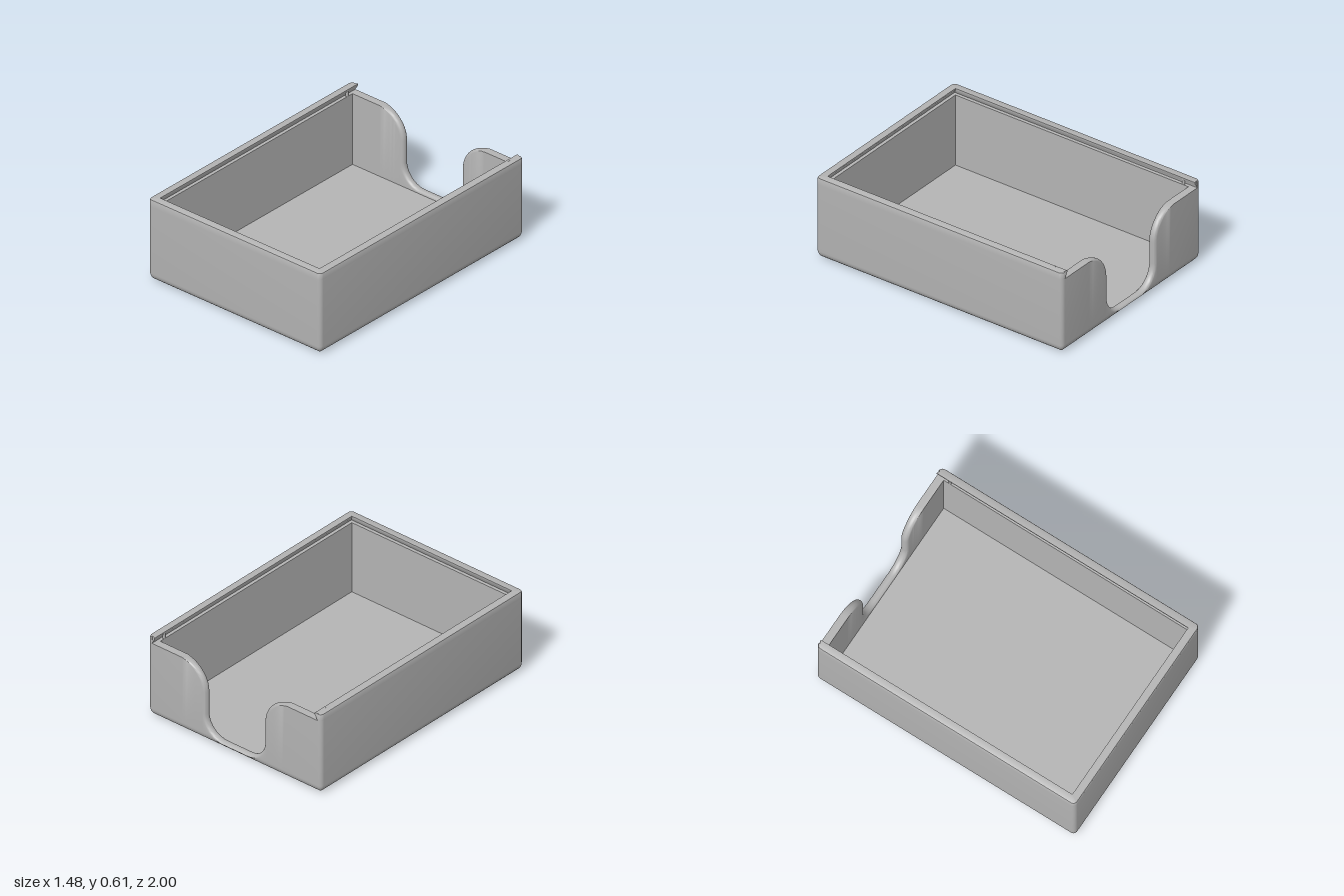
import * as THREE from 'three';
import { toCreasedNormals } from 'three/addons/utils/BufferGeometryUtils.js';

const W = 0.74, L = 1;            // half width, half length
const WALL = 0.055, FLOOR = 0.03; // thicknesses
const LEDGE = 0.56, TOP = 0.61;   // groove floor and rim heights
const CORNER = 0.03, FILLET = 0.06, ROUND = 0.025;

// Skin rows of points; caps optionally close both ends of the rows
function loft(rows, closed, caps) {
  const pos = [], n = rows[0].length;
  const tri = (a, b, c) => pos.push(...a, ...b, ...c);
  for (let i = 0; i < rows.length - 1; i++) {
    for (let j = 0; j < (closed ? n : n - 1); j++) {
      const k = (j + 1) % n;
      const a = rows[i][j], b = rows[i][k], c = rows[i + 1][k], d = rows[i + 1][j];
      tri(a, b, c);
      tri(a, c, d);
    }
  }
  if (caps) {
    for (let i = 1; i < rows.length - 1; i++) {
      tri(rows[0][0], rows[i][0], rows[i + 1][0]);
      tri(rows[0][n - 1], rows[i + 1][n - 1], rows[i][n - 1]);
    }
  }
  const g = new THREE.BufferGeometry();
  g.setAttribute('position', new THREE.Float32BufferAttribute(pos, 3));
  return toCreasedNormals(g, 0.6);
}

// One rounded plan corner at inset d, swept a quarter turn from angle a0
function corner(sx, sz, a0, d, y, toBack = false) {
  const r = Math.max(CORNER - d, 0), out = [];
  const cx = sx * (W - d - r);
  const cz = toBack && d > CORNER ? -L : sz * (L - d - r);
  for (let i = 0; i <= 6; i++) {
    const a = a0 - (i / 6) * Math.PI / 2;
    out.push([cx + r * Math.cos(a), y, cz + r * Math.sin(a)]);
  }
  return out;
}

// Thumb scoop edge from +x to -x: position, inward normal, rounding weight
function scoopEdge() {
  const half = [], N = 14;
  for (let i = 0; i <= N; i++) {
    const t = i / N, a = Math.PI / 2 * (1 + t), c = Math.cos(a), s = Math.sin(a);
    half.push({ x: 0.45 + 0.2 * c, y: LEDGE - 0.2 + 0.2 * s, nx: -c, ny: -s, w: Math.min(1, t * 2) });
  }
  for (let i = 0; i <= N; i++) {
    const t = i / N, a = -Math.PI / 2 * t, c = Math.cos(a), s = Math.sin(a);
    half.push({ x: 0.1 + 0.15 * c, y: 0.2 + 0.15 * s, nx: c, ny: s, w: 1 - 0.4 * t });
  }
  return [...half, ...half.map(p => ({ ...p, x: -p.x, nx: -p.nx })).reverse()];
}

function trayGeometry() {
  const edge = scoopEdge();
  const row = (d, y, off = ROUND) => [
    ...corner(1, 1, Math.PI / 2, d, y),
    ...corner(1, -1, 0, d, y),
    ...edge.map(p => [
      THREE.MathUtils.clamp(p.x + p.nx * p.w * off, d - W, W - d),
      Math.min(y, p.y + p.ny * p.w * off),
      d - L,
    ]),
    ...corner(-1, -1, -Math.PI / 2, d, y),
    ...corner(-1, 1, -Math.PI, d, y),
  ];
  const rows = [row(W, 0)];
  // rounded bottom edge
  for (let i = 0; i <= 8; i++) {
    const a = (i / 8) * Math.PI / 2;
    rows.push(row(FILLET * (1 - Math.sin(a)), FILLET * (1 - Math.cos(a))));
  }
  // ledge across the wall, rolled over along the scoop
  for (let i = 0; i <= 10; i++) {
    const t = -Math.cos((i / 10) * Math.PI);
    rows.push(row(WALL * (t + 1) / 2, LEDGE, ROUND * (1 - Math.sqrt(Math.max(0, 1 - t * t)))));
  }
  // inner wall and floor
  rows.push(row(WALL, FLOOR), row(W, FLOOR));
  return loft(rows, true, false);
}

// Undercut lip on three sides, open at the back for a sliding lid
function rimGeometry() {
  const profile = [
    [0, LEDGE], [0, TOP - 0.01], [0.003, TOP - 0.003], [0.01, TOP],
    [WALL, TOP], [WALL, TOP - 0.01], [0.031, LEDGE],
  ];
  const rows = profile.map(([d, y]) => [
    ...corner(-1, -1, -Math.PI / 2, d, y, true),
    ...corner(-1, 1, -Math.PI, d, y),
    ...corner(1, 1, Math.PI / 2, d, y),
    ...corner(1, -1, 0, d, y, true),
  ]);
  return loft(rows, false, true);
}

export function createModel() {
  const group = new THREE.Group();
  group.name = 'slidingLidBox';
  const grey = new THREE.MeshStandardMaterial({ color: 0xb4b4b4 });
  grey.name = 'grey plastic';
  const add = (name, geometry) => {
    const mesh = new THREE.Mesh(geometry, grey);
    mesh.name = name;
    group.add(mesh);
    return mesh;
  };

  add('tray', trayGeometry());
  add('grooveRim', rimGeometry());

  // Small catches for the lid near the open end
  for (const side of [1, -1]) {
    const catchPin = add(side > 0 ? 'leftLidCatch' : 'rightLidCatch',
      new THREE.CylinderGeometry(0.01, 0.01, TOP - LEDGE, 16));
    catchPin.position.set(side * 0.694, (TOP + LEDGE) / 2 + 0.0005, -0.9);
  }
  return group;
}
